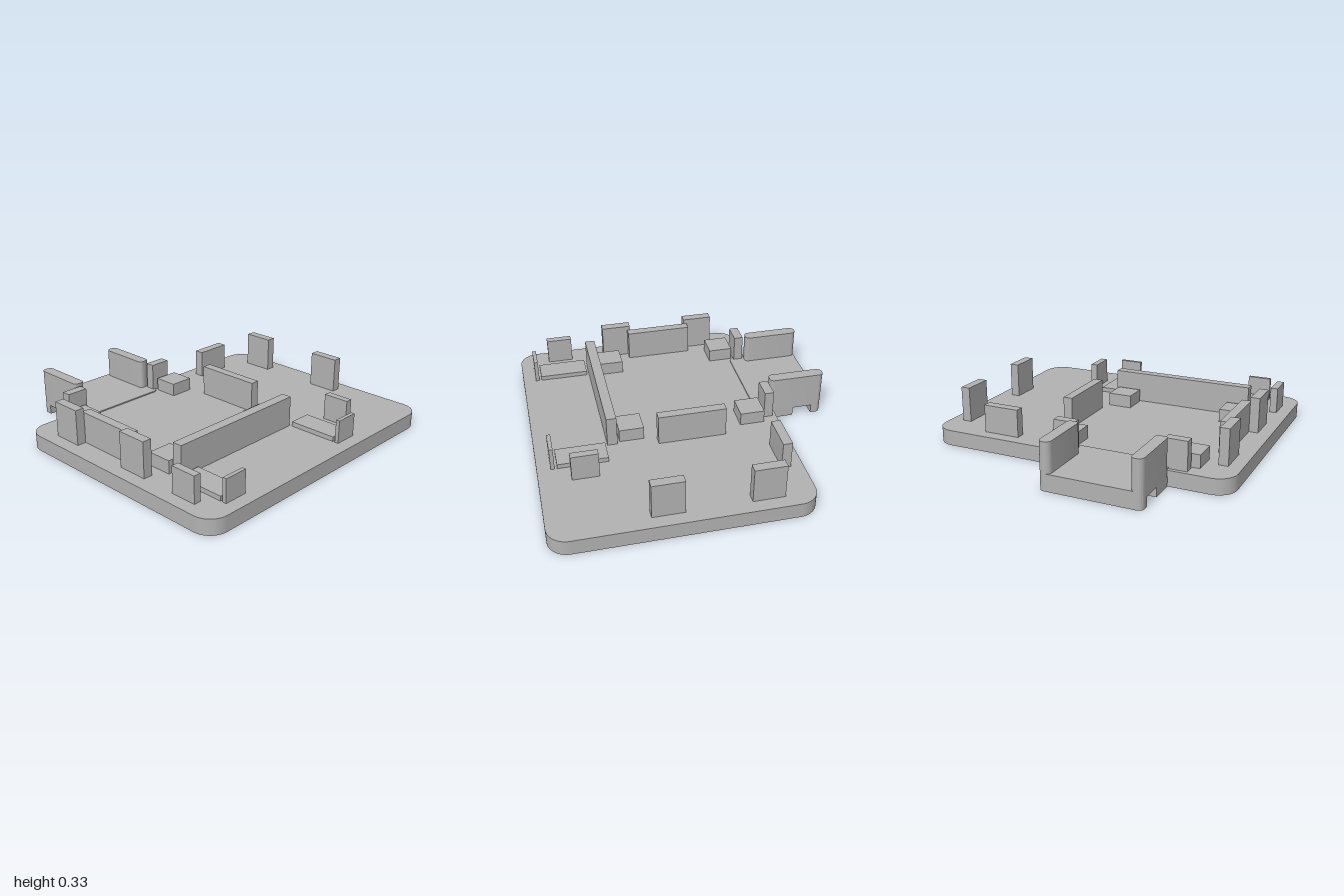
import * as THREE from 'three';
import { toCreasedNormals } from 'three/addons/utils/BufferGeometryUtils.js';

const grey = new THREE.MeshStandardMaterial({ color: 0xb2b2b2 });
grey.name = 'plain grey';

// Upright slab with a rounded plan; rb and rf are the back and front corner radii
function slab(x0, x1, z0, z1, y0, y1, rb, rf = rb) {
  const s = new THREE.Shape();
  const corner = (cx, cz, r, a) =>
    r > 0 ? s.absarc(cx, -cz, r, a, a + Math.PI / 2, false) : s.lineTo(cx, -cz);
  s.moveTo(x0 + rf, -z1);
  corner(x1 - rf, z1 - rf, rf, -Math.PI / 2);
  corner(x1 - rb, z0 + rb, rb, 0);
  corner(x0 + rb, z0 + rb, rb, Math.PI / 2);
  corner(x0 + rf, z1 - rf, rf, Math.PI);
  s.closePath();
  const g = new THREE.ExtrudeGeometry(s, { depth: y1 - y0, bevelEnabled: false, curveSegments: 10 });
  g.rotateX(-Math.PI / 2);
  g.translate(0, y0, 0);
  return toCreasedNormals(g, 0.6);
}

export function createModel() {
  const model = new THREE.Group();
  model.name = 'mountingPlate';
  const add = (parent, name, geometry) => {
    const mesh = new THREE.Mesh(geometry, grey);
    mesh.name = name;
    parent.add(mesh);
    return mesh;
  };
  // Block standing on the plate, given by its plan limits and top height
  const block = (name, x0, x1, z0, z1, top) => {
    const h = top - 0.1;
    add(model, name, new THREE.BoxGeometry(x1 - x0, h, z1 - z0))
      .position.set((x0 + x1) / 2, 0.1 + h / 2, (z0 + z1) / 2);
  };

  add(model, 'basePlate', slab(-1, 1, -0.62, 0.98, 0, 0.1, 0.125));

  // Rear tab with a cable groove across its underside
  const tab = new THREE.Group();
  tab.name = 'rearTab';
  model.add(tab);
  add(tab, 'tabDeck', slab(-0.615, 0.015, -0.98, -0.505, 0.06, 0.108, 0.03, 0.045));
  add(tab, 'tabRearFoot', slab(-0.62, 0.02, -0.98, -0.91, 0, 0.06, 0.034, 0));
  add(tab, 'tabInnerFoot', slab(-0.62, 0.02, -0.78, -0.61, 0, 0.06, 0));
  for (const x of [-0.62, -0.055]) {
    add(tab, 'tabWall', slab(x, x + 0.075, -0.98, -0.61, 0.06, 0.3, 0.034, 0.025));
  }

  // Side posts near the outer edges
  for (const x of [-0.915, 0.855]) {
    block('sidePost', x, x + 0.06, -0.42, -0.22, 0.33);
    block('sidePost', x, x + 0.06, 0.18, 0.38, 0.33);
  }

  // Matching features on both sides of the tray bay
  for (const x of [-0.855, 0.195]) block('sideRail', x, x + 0.06, -0.24, 0.2, 0.3);
  for (const x of [-0.73, -0.01]) block('rearStop', x, x + 0.14, -0.595, -0.535, 0.285);
  for (const x of [-0.78, 0.02]) {
    block('rearPad', x, x + 0.16, -0.52, -0.36, 0.185);
    block('middlePad', x, x + 0.16, 0.28, 0.44, 0.185);
  }
  for (const x of [-0.795, 0.205]) {
    block('frontPad', x, x + 0.155, 0.535, 0.855, 0.13);
    block('frontLip', x, x + 0.155, 0.87, 0.895, 0.25);
  }
  for (const x of [-0.917, 0.44]) block('frontPost', x, x + 0.047, 0.61, 0.78, 0.27);

  // Single walls
  block('crossBar', -0.76, 0.2, 0.455, 0.52, 0.3);
  block('rearGuide', 0.42, 0.66, -0.54, -0.48, 0.28);

  return model;
}
